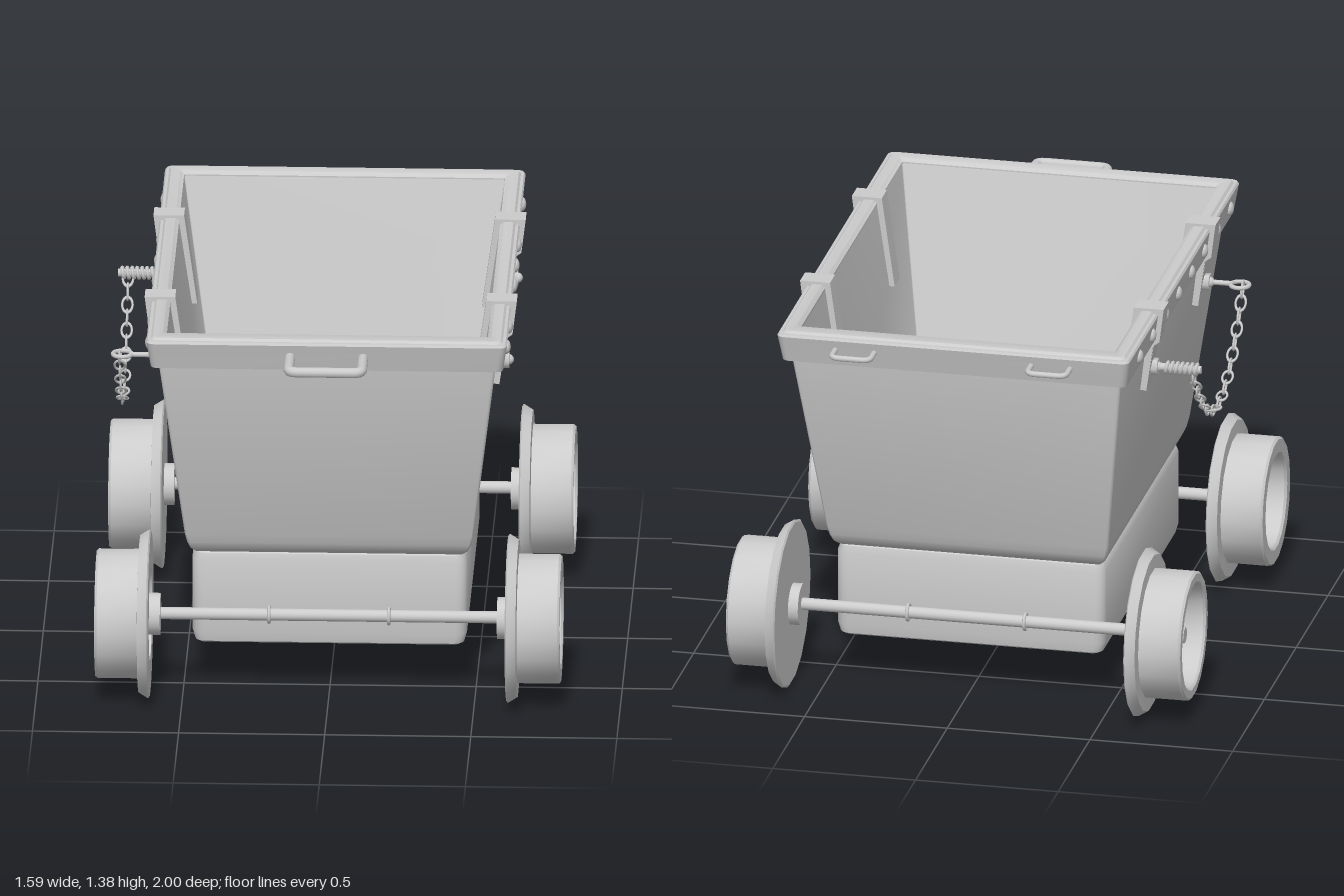
import * as THREE from 'three';
import { toCreasedNormals } from 'three/addons/utils/BufferGeometryUtils.js';

const MID = -0.04; // body centre along z
const V2 = (x, y) => new THREE.Vector2(x, y);
const V3 = (x, y, z) => new THREE.Vector3(x, y, z);

export function createModel() {
  const root = new THREE.Group();
  const mat = new THREE.MeshStandardMaterial({ color: 0xcccccc });

  const add = (name, geo, x = 0, y = 0, z = 0, parent = root) => {
    const m = new THREE.Mesh(geo, mat);
    m.name = name;
    m.position.set(x, y, z);
    parent.add(m);
    return m;
  };
  const crease = (g, a = 0.6) => toCreasedNormals(g, a);
  const rod = (r, len, n = 16) => new THREE.CylinderGeometry(r, r, len, n).rotateZ(-Math.PI / 2);

  // Skin through rounded rectangles [y, halfX, halfZ, cornerRadius], capped at both ends
  function loft(sections) {
    const pos = [], idx = [], n = 20;
    for (const [y, hx, hz, r] of sections) {
      for (let c = 0; c < 4; c++) {
        const sx = c === 0 || c === 3 ? 1 : -1, sz = c < 2 ? 1 : -1;
        for (let k = 0; k < 5; k++) {
          const a = (c + k / 4) * Math.PI / 2;
          pos.push(sx * (hx - r) + r * Math.cos(a), y, -(sz * (hz - r) + r * Math.sin(a)));
        }
      }
    }
    const last = sections.length - 1;
    for (let i = 0; i < last; i++) {
      for (let j = 0; j < n; j++) {
        const a = i * n + j, b = i * n + (j + 1) % n;
        idx.push(a, b, b + n, a, b + n, a + n);
      }
    }
    for (let j = 1; j < n - 1; j++) {
      idx.push(0, j + 1, j, last * n, last * n + j, last * n + j + 1);
    }
    const g = new THREE.BufferGeometry();
    g.setAttribute('position', new THREE.Float32BufferAttribute(pos, 3));
    g.setIndex(idx);
    return crease(g);
  }

  // Base block, hollow tub and rim band
  add('base', loft([
    [0.178, 0.45, 0.59, 0.03], [0.185, 0.46, 0.6, 0.035], [0.22, 0.47, 0.607, 0.04],
    [0.48, 0.47, 0.607, 0.04], [0.505, 0.46, 0.6, 0.035], [0.516, 0.445, 0.585, 0.03],
  ]), 0, 0, MID);
  add('tub', loft([
    [0.511, 0.44, 0.59, 0.012], [0.515, 0.46, 0.612, 0.012], [0.53, 0.475, 0.628, 0.012],
    [0.555, 0.486, 0.64, 0.012], [0.59, 0.494, 0.65, 0.012], [1.3, 0.58, 0.832, 0.012],
    [1.37, 0.58, 0.832, 0.012], [1.37, 0.55, 0.8, 0.005], [0.5, 0.42, 0.563, 0.005],
  ]), 0, 0, MID);
  add('rim', loft([
    [1.27, 0.57, 0.82, 0.01], [1.27, 0.603, 0.86, 0.02], [1.365, 0.617, 0.884, 0.025],
    [1.372, 0.612, 0.88, 0.025], [1.372, 0.603, 0.87, 0.025], [1.38, 0.595, 0.862, 0.025],
    [1.38, 0.562, 0.812, 0.01], [1.372, 0.55, 0.8, 0.005], [1.3, 0.54, 0.781, 0.005],
    [1.27, 0.57, 0.82, 0.01],
  ].slice(0, 8).concat([[1.365, 0.55, 0.8, 0.005]]).map((s) => s)).clone(), 0, 0, MID).geometry = rimGeometry();

  // Rim is an open ring, so it is swept as four mitred bands
  function rimGeometry() {
    const prof = [[0.57, 0.82, 1.27], [0.603, 0.86, 1.27], [0.617, 0.884, 1.365], [0.612, 0.88, 1.373],
      [0.602, 0.868, 1.373], [0.595, 0.86, 1.381], [0.562, 0.812, 1.381], [0.549, 0.799, 1.371],
      [0.549, 0.799, 1.35]];
    const pos = [], idx = [], n = 20;
    for (const [hx, hz, y] of prof) {
      for (let j = 0; j < n; j++) {
        const c = Math.floor(j / 5), a = (c + (j % 5) / 4) * Math.PI / 2, r = hx > 0.58 ? 0.025 : 0.006;
        const sx = c === 0 || c === 3 ? 1 : -1, sz = c < 2 ? 1 : -1;
        pos.push(sx * (hx - r) + r * Math.cos(a), y, -(sz * (hz - r) + r * Math.sin(a)));
      }
    }
    for (let i = 0; i < prof.length - 1; i++) {
      for (let j = 0; j < n; j++) {
        const a = i * n + j, b = i * n + (j + 1) % n;
        idx.push(a, b, b + n, a, b + n, a + n);
      }
    }
    const g = new THREE.BufferGeometry();
    g.setAttribute('position', new THREE.Float32BufferAttribute(pos, 3));
    g.setIndex(idx);
    return crease(g);
  }

  // Handles: rounded U of tube
  function handle(name, x, half, z0, z1, y, r) {
    const path = new THREE.CurvePath(), d = Math.sign(z1 - z0), c = 0.03;
    const p = (px, pz) => V3(px, y, pz);
    path.add(new THREE.LineCurve3(p(x - half, z0), p(x - half, z1 - d * c)));
    path.add(new THREE.QuadraticBezierCurve3(p(x - half, z1 - d * c), p(x - half, z1), p(x - half + c, z1)));
    path.add(new THREE.LineCurve3(p(x - half + c, z1), p(x + half - c, z1)));
    path.add(new THREE.QuadraticBezierCurve3(p(x + half - c, z1), p(x + half, z1), p(x + half, z1 - d * c)));
    path.add(new THREE.LineCurve3(p(x + half, z1 - d * c), p(x + half, z0)));
    add(name, new THREE.TubeGeometry(path, 60, r, 10));
  }
  handle('frontHandle', 0, 0.125, 0.8, 0.982, 1.32, 0.018);
  for (const s of [1, -1]) handle('backHandle', s * 0.343, 0.068, -0.88, -0.99, 1.33, 0.01);

  // Straps with bolts, and rivets along both long sides
  const strapProfile = [[0.555, 1.09], [0.577, 1.09], [0.602, 1.255], [0.622, 1.27], [0.637, 1.39],
    [0.532, 1.39], [0.487, 1.07], [0.515, 1.07]];
  for (const s of [1, -1]) {
    for (const z of [0.4, -0.415]) {
      const shape = new THREE.Shape(strapProfile.map(([x, y]) => V2(s * x, y)));
      add('strap', new THREE.ExtrudeGeometry(shape, { depth: 0.08, bevelEnabled: false }), 0, 0, z - 0.04);
      const plate = add('strapPlate', new THREE.BoxGeometry(0.016, 0.165, 0.092), s * 0.581, 1.173, z);
      plate.rotation.z = -s * 0.14;
      add('strapBolt', rod(0.03, 0.03, 6), s * 0.595, 1.165, z);
      add('strapBoltEnd', new THREE.SphereGeometry(0.018, 10, 8), s * 0.608, 1.165, z);
    }
    for (let i = 0; i < 8; i++) {
      const rivet = add('rivet', new THREE.SphereGeometry(0.025, 12, 8), s * 0.611, 1.32, 0.7 - i * 0.2036);
      rivet.scale.x = 0.6;
    }
  }

  // Wheels: axis along x, outer face towards +x, local origin on the axle at x = 0
  const lathe = (pts, n) => crease(new THREE.LatheGeometry(pts.map(([r, a]) => V2(r, a)), n).rotateZ(-Math.PI / 2), 0.5);
  const tread = [[0.285, 0.611], [0.293, 0.616], [0.273, 0.648], [0.225, 0.65], [0.225, 0.788], [0.218, 0.796]];
  const solidRim = lathe([[0, 0.611], ...tread, [0.19, 0.796], [0.183, 0.788], [0.178, 0.7], [0, 0.7]], 18);
  const openRim = lathe([[0.16, 0.611], ...tread, [0.172, 0.796], [0.163, 0.788], [0.16, 0.611]], 18);

  const spokeShape = new THREE.Shape().absarc(0, 0, 0.165, 0, Math.PI * 2);
  for (let i = 0; i < 5; i++) {
    const a = Math.PI / 2 + i * Math.PI * 0.4;
    const hole = new THREE.Path();
    hole.absarc(0, 0, 0.158, a - 0.34, a + 0.34, false);
    hole.absarc(0, 0, 0.07, a + 0.26, a - 0.26, true);
    hole.closePath();
    spokeShape.holes.push(hole);
  }
  const spokes = crease(new THREE.ExtrudeGeometry(spokeShape, { depth: 0.09, bevelEnabled: false, curveSegments: 10 })
    .rotateY(Math.PI / 2));

  function wheel(side, z, spoked) {
    const g = new THREE.Group();
    g.name = spoked ? 'spokedWheel' : 'solidWheel';
    g.position.set(0, 0.297, z);
    if (side < 0) g.rotation.y = Math.PI;
    add('wheelRim', spoked ? openRim : solidRim, 0, 0, 0, g);
    add('innerHub', rod(0.072, 0.045, 20), 0.599, 0, 0, g);
    if (spoked) {
      add('spokes', spokes, 0.62, 0, 0, g);
      add('hub', rod(0.075, 0.1, 24), 0.68, 0, 0, g);
      for (let i = 0; i < 4; i++) {
        const a = i * Math.PI / 2;
        add('hubBolt', rod(0.011, 0.015, 8), 0.735, 0.053 * Math.sin(a), 0.053 * Math.cos(a), g);
      }
      add('hubNut', rod(0.03, 0.03, 6), 0.74, 0, 0, g);
    } else {
      add('hubNut', rod(0.065, 0.04, 6), 0.72, 0, 0, g);
      add('axleEnd', rod(0.028, 0.03, 12), 0.75, 0, 0, g);
    }
    root.add(g);
  }

  // Axles with clamp rings
  for (const z of [0.605, -0.692]) {
    add('axle', rod(0.021, 1.2), 0, 0.3, z);
    for (const s of [1, -1]) {
      wheel(s, z, z > 0);
      add('axleRing', new THREE.TorusGeometry(0.027, 0.006, 8, 20).rotateY(Math.PI / 2), s * 0.205, 0.3, z);
    }
  }

  // Spring pin on the rear right strap, eye bolt on the front right strap
  add('pin', rod(0.014, 0.17, 12), -0.675, 1.165, -0.415);
  for (let i = 0; i < 7; i++) {
    const coil = add('pinCoil', new THREE.TorusGeometry(0.018, 0.007, 6, 16).rotateY(Math.PI / 2), -0.64 - i * 0.017, 1.165, -0.415);
    coil.rotation.z = 0.2;
  }
  add('eyeBolt', rod(0.009, 0.1, 10), -0.64, 1.165, 0.4);
  add('eyeRing', new THREE.TorusGeometry(0.032, 0.008, 8, 20).rotateX(Math.PI / 2), -0.715, 1.165, 0.395);

  // Hanging chain of alternating links
  const sag = new THREE.QuadraticBezierCurve3(V3(-0.725, 1.15, -0.4), V3(-0.725, 0.6, 0), V3(-0.725, 1.15, 0.39));
  const link = new THREE.TorusGeometry(0.018, 0.0042, 6, 14).scale(1, 1.55, 1).rotateX(Math.PI / 2);
  const count = 21;
  for (let i = 0; i <= count; i++) {
    const p = sag.getPointAt(i / count), t = sag.getTangentAt(i / count);
    const m = add('chainLink', link, p.x, p.y, p.z);
    m.rotation.set(-Math.atan2(t.y, t.z), 0, i % 2 ? Math.PI / 2 : 0);
  }
  return root;
}
